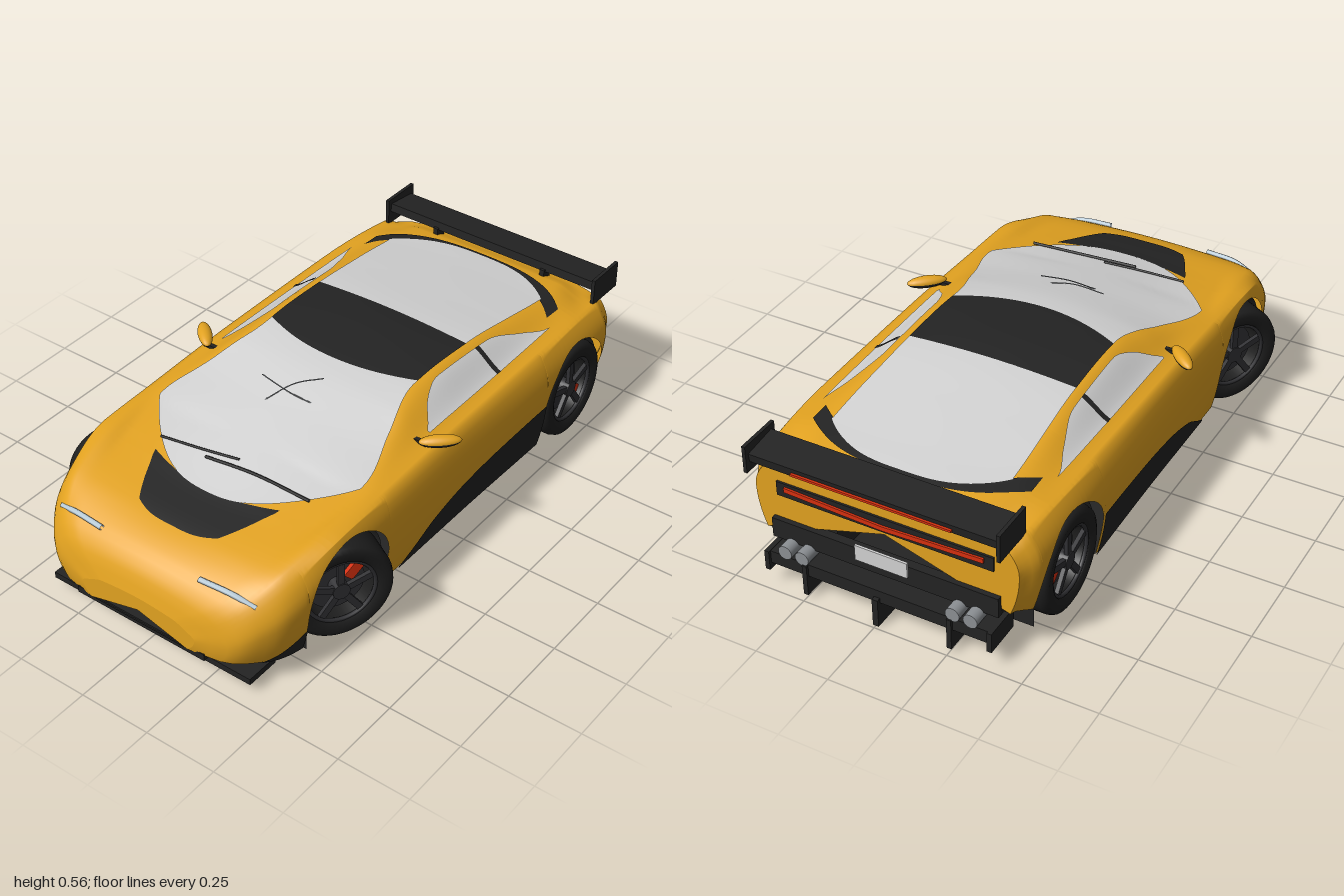
import * as THREE from 'three';

const mat = (name, color) => {
  const m = new THREE.MeshStandardMaterial({ color, side: THREE.DoubleSide });
  m.name = name;
  return m;
};

// Smooth monotone curve through [t, value] pairs, clamped at both ends
function curve(p) {
  const n = p.length;
  const d = (i) => (p[i + 1][1] - p[i][1]) / (p[i + 1][0] - p[i][0]);
  const m = p.map((_, i) => {
    if (i === 0 || i === n - 1) return 0;
    const a = d(i - 1), b = d(i);
    return a * b <= 0 ? 0 : (2 * a * b) / (a + b);
  });
  m[n - 1] = d(n - 2);
  return (t) => {
    if (t <= p[0][0]) return p[0][1];
    if (t >= p[n - 1][0]) return p[n - 1][1];
    let i = 0;
    while (t > p[i + 1][0]) i++;
    const h = p[i + 1][0] - p[i][0], s = (t - p[i][0]) / h, r = 1 - s;
    return (1 + 2 * s) * r * r * p[i][1] + s * r * r * h * m[i]
      + s * s * (3 - 2 * s) * p[i + 1][1] - s * s * r * h * m[i + 1];
  };
}

// Sheet of quads from a point rule
function grid(nu, nv, fn) {
  const pos = [], idx = [];
  for (let i = 0; i <= nu; i++) for (let j = 0; j <= nv; j++) pos.push(...fn(i / nu, j / nv, i, j));
  for (let i = 0; i < nu; i++) for (let j = 0; j < nv; j++) {
    const a = i * (nv + 1) + j, b = a + 1, c = a + nv + 1, d = c + 1;
    idx.push(a, b, c, b, d, c);
  }
  const g = new THREE.BufferGeometry();
  g.setAttribute('position', new THREE.Float32BufferAttribute(pos, 3));
  g.setIndex(idx);
  g.computeVertexNormals();
  return g;
}

// Feature lines of the body along z
const centreY = curve([[-.92, .43], [-.85, .455], [-.7, .477], [-.5, .505], [-.3, .53], [-.15, .54], [0, .535], [.1, .525], [.3, .48], [.5, .432], [.67, .39], [.83, .36], [.92, .325], [.97, .275], [.995, .2]]);
const roofX = curve([[-.92, .28], [-.7, .31], [-.3, .295], [0, .29], [.2, .34], [.4, .395], [.6, .365], [.8, .33], [.92, .29], [.97, .24], [.995, .14]]);
const roofY = curve([[-.92, .425], [-.85, .45], [-.7, .467], [-.5, .495], [-.3, .518], [-.1, .527], [0, .522], [.1, .505], [.2, .475], [.3, .448], [.4, .43], [.6, .402], [.8, .37], [.92, .315], [.97, .26], [.995, .19]]);
const waistX = curve([[-.92, .36], [-.85, .39], [-.5, .41], [0, .415], [.2, .415], [.4, .43], [.6, .42], [.8, .4], [.92, .35], [.97, .29], [.995, .17]]);
const waistY = curve([[-.92, .415], [-.7, .445], [0, .445], [.2, .44], [.4, .425], [.6, .415], [.8, .372], [.92, .3], [.97, .245], [.995, .18]]);
const shoulderX = curve([[-.92, .42], [-.85, .44], [-.5, .46], [.4, .465], [.6, .465], [.8, .435], [.92, .375], [.97, .31], [.995, .19]]);
const shoulderY = curve([[-.92, .395], [-.85, .425], [-.6, .435], [0, .43], [.4, .415], [.6, .407], [.8, .35], [.92, .28], [.97, .23], [.995, .17]]);
const flankX = curve([[-.92, .45], [-.85, .485], [-.6, .497], [0, .49], [.6, .49], [.75, .475], [.85, .45], [.92, .405], [.97, .345], [.995, .22]]);
const flankY = curve([[-.92, .32], [.5, .32], [.8, .26], [.92, .21], [.995, .15]]);
const sillY = curve([[-.92, .17], [-.85, .15], [-.8, .08], [.8, .08], [.9, .09], [.995, .1]]);

const axles = [.58, -.66], hubY = .2, archR = .187;

function topY(x, z) {
  return curve([[0, centreY(z)], [roofX(z), roofY(z)], [waistX(z), waistY(z)], [shoulderX(z), shoulderY(z)]])(Math.abs(x));
}
function sideX(z, y) {
  const w = flankX(z), b = flankY(z);
  if (y > b) return w - (w - shoulderX(z)) * ((y - b) / (shoulderY(z) - b)) ** 2;
  return w - .03 * ((b - y) / (b - sillY(z))) ** 2;
}
function lowerY(z) {
  for (const a of axles) {
    const d = Math.abs(z - a);
    if (d < archR) return hubY + Math.sqrt(archR * archR - d * d);
  }
  return sillY(z);
}

export function createModel() {
  const paint = mat('yellow paint', 0xe2a220), dark = mat('black trim', 0x232323), glass = mat('pale glass', 0xd2d2d2);
  const rubber = mat('tyre rubber', 0x1e1e1e), rim = mat('rim grey', 0x303033), red = mat('red', 0xd8300f);
  const lamp = mat('headlight', 0xbfd2de), metal = mat('metal', 0x8c9094);
  const car = new THREE.Group();
  car.name = 'sportsCar';
  const add = (name, geo, m, x = 0, y = 0, z = 0, parent = car) => {
    const o = new THREE.Mesh(geo, m);
    o.name = name;
    o.position.set(x, y, z);
    parent.add(o);
    return o;
  };
  const box = (name, w, h, d, m, x, y, z, parent) => add(name, new THREE.BoxGeometry(w, h, d), m, x, y, z, parent);

  // Stations are denser around the wheel arches and the nose
  const st = [.975, .985, .99, .995];
  for (let i = 0; i <= 94; i++) st.push(-.92 + i * .02);
  for (const a of axles) {
    for (let k = 0; k <= 20; k++) st.push(a + (archR - .0003) * Math.cos(k * Math.PI / 20));
    st.push(a - archR - .0003, a + archR + .0003);
  }
  st.sort((a, b) => a - b);

  // Body shell: flank, top, flank
  const M = 12, N = 28, cols = 2 * M + 2 * N;
  const shellPoint = (z, j) => {
    if (j >= M && j <= M + 2 * N) {
      const x = shoulderX(z) * (1 - (j - M) / N);
      return [x, topY(x, z), z];
    }
    const s = j < M ? 1 : -1, k = s > 0 ? j / M : (cols - j) / M;
    const y = THREE.MathUtils.lerp(lowerY(z), shoulderY(z), k);
    return [s * sideX(z, y), y, z];
  };
  add('bodyShell', grid(st.length - 1, cols, (u, v, i, j) => shellPoint(st[i], j)), paint);
  for (const [name, z, y] of [['noseFace', .995, .15], ['tailFace', -.92, .3]])
    add(name, grid(1, cols, (u, v, i, j) => i ? [0, y, z] : shellPoint(z, j)), paint);
  add('floor', grid(st.length - 1, 1, (u, v, i) => {
    const z = st[i], w = axles.some((a) => Math.abs(z - a) < archR) ? .22 : flankX(z) - .032;
    return [w * (2 * v - 1), sillY(z) + .002, z];
  }), dark);

  // Plates that hug the top surface
  const topPatch = (name, m, back, front, edge, lift = .005) => add(name, grid(36, 40, (u, v) => {
    const t = 1 - 2 * v, a = Math.abs(t), z = THREE.MathUtils.lerp(back(a), front(a), u), x = t * edge(z);
    return [x, topY(x, z) + lift, z];
  }), m);
  topPatch('windscreen', glass, (a) => .05 - .07 * a * a, (a) => .67 - .25 * a ** 2.5, roofX);
  topPatch('roofPanel', dark, () => -.28, (a) => .05 - .07 * a * a, roofX);
  topPatch('rearWindow', glass, (a) => -.815 + .11 * a ** 3, () => -.28, roofX);
  topPatch('rearDeckTrim', dark, (a) => -.83 + .12 * a ** 3, (a) => -.77 + .13 * a ** 3, () => .375, .003);
  topPatch('bonnetVent', dark, (a) => .665 - .05 * a * a, (a) => .825 - .03 * a ** 4, curve([[.6, .245], [.68, .215], [.76, .175], [.83, .13]]), .003);

  // Plates that hug the flanks
  const sidePatch = (name, m, s, z0, z1, low, high) => add(name, grid(40, 8, (u, v) => {
    const z = z0 + (z1 - z0) * u, y = THREE.MathUtils.lerp(low(z), high(z), v);
    return [s * (sideX(z, y) + .004), y, z];
  }), m);
  const sillTop = curve([[-.47, .25], [-.2, .24], [0, .22], [.15, .18], [.25, .12], [.31, .085]]);
  const windowFill = curve([[-.62, 0], [-.5, .55], [-.36, 1], [-.08, 1], [0, .75], [.09, .1]]);
  const tube = (name, pts, r, m) => add(name, new THREE.TubeGeometry(
    new THREE.CatmullRomCurve3(pts.map((p) => new THREE.Vector3(...p))), 24, r, 6), m);

  for (const s of [1, -1]) {
    sidePatch('sideSkirt', dark, s, -.471, .31, (z) => sillY(z) - .003, sillTop);
    sidePatch('bumperCorner', dark, s, .77, .9, sillY, curve([[.77, .16], [.82, .135], [.9, .092]]));

    // Side window with its pillar
    const windowSheet = (name, m, z0, z1, lift) => add(name, grid(30, 10, (u, v) => {
      const z = z0 + (z1 - z0) * u, low = waistX(z) - .004, high = roofX(z) + .025;
      const x = low + (high - low) * windowFill(z) * v;
      return [s * (x + lift), topY(x, z) + lift, z];
    }), m);
    windowSheet('sideWindow', glass, -.61, .09, .004);
    windowSheet('windowPillar', dark, -.305, -.285, .006);

    // Door mirror
    const mirror = new THREE.Group();
    mirror.name = 'mirror';
    mirror.position.set(s * .468, .455, .11);
    mirror.rotation.y = s * .75;
    car.add(mirror);
    const half = (t0) => new THREE.SphereGeometry(1, 20, 8, 0, Math.PI * 2, t0, Math.PI / 2);
    add('mirrorCap', half(0), paint, 0, 0, 0, mirror).scale.set(.068, .02, .024);
    add('mirrorBase', half(Math.PI / 2), dark, 0, 0, 0, mirror).scale.set(.066, .02, .023);
    box('mirrorArm', .05, .012, .015, dark, s * .415, .447, .14);

    tube('headlight', [[s * .19, .325, .925], [s * .3, .322, .915], [s * .38, .298, .897]], .009, lamp);
    const fin = add('bumperFin', new THREE.ConeGeometry(.045, .06, 4), dark, s * .22, .113, .965);
    fin.scale.z = .5;

    // Wheels, liners and brakes
    axles.forEach((az, k) => {
      add('wheelLiner', grid(36, 1, (u, v) => {
        const a = -.7 + u * (Math.PI + 1.4), c = THREE.MathUtils.clamp(a, 0, Math.PI);
        const drop = Math.abs(a - c) / .7 * .12;
        return [s * (.22 + .237 * v), hubY + archR * Math.sin(c) - drop, az + archR * Math.cos(c)];
      }), dark);
      add('linerWall', new THREE.CircleGeometry(archR, 32, 0, Math.PI), dark, s * .22, hubY, az).rotation.y = Math.PI / 2;
      box('linerWallLower', .006, .12, archR * 2, dark, s * .22, .14, az);
      const wheel = new THREE.Group();
      wheel.name = k ? 'rearWheel' : 'frontWheel';
      wheel.position.set(s * .418, hubY, az);
      wheel.rotation.y = k ? 0 : -Math.PI / 6;
      car.add(wheel);
      const tyre = [[.118, -.065], [.15, -.07], [.166, -.062], [.172, -.045], [.172, .045], [.166, .062], [.15, .07], [.118, .065], [.112, .05], [.112, -.065], [.118, -.065]];
      add('tyre', new THREE.LatheGeometry(tyre.map((p) => new THREE.Vector2(...p)), 48), rubber, 0, 0, 0, wheel).rotation.z = -s * Math.PI / 2;
      const disc = (name, r, w, m, x) => { add(name, new THREE.CylinderGeometry(r, r, w, 32), m, s * x, 0, 0, wheel).rotation.z = Math.PI / 2; };
      disc('brakeDisc', .092, .012, rim, .012);
      disc('hub', .028, .05, rim, .035);
      const rimRing = add('rimRing', new THREE.TorusGeometry(.112, .007, 8, 40), rim, s * .055, 0, 0, wheel);
      rimRing.rotation.y = Math.PI / 2;
      for (let i = 0; i < 5; i++) {
        const a = i * Math.PI * .4;
        const spoke = box('spoke', .014, .1, .022, rim, s * .05, .062 * Math.cos(a), .062 * Math.sin(a), wheel);
        spoke.rotation.x = a;
      }
      const caliper = box('brakeCaliper', .03, .085, .035, red, s * .018, k ? -.05 : .055, k ? -.07 : -.06, wheel);
      caliper.rotation.x = k ? .9 : -.7;
    });

    // Wing supports and exhaust tips
    box('wingEndPlate', .012, .095, .15, dark, s * .425, .468, -.92);
    box('wingStrut', .018, .06, .04, dark, s * .22, .445, -.87);
    for (const x of [.26, .32])
      add('exhaustTip', new THREE.CylinderGeometry(.024, .024, .07, 20), metal, s * x, .145, -.945).rotation.x = Math.PI / 2;
    for (const x of [.25, .385]) box('diffuserFin', .016, x < .3 ? .11 : .07, .13, dark, s * x, x < .3 ? .07 : .095, -.92);
    const light = box('tailLight', .34, .016, .012, red, s * .17, .338, -.928);
    light.rotation.z = s * .04;
  }

  // Rear wing and tail
  box('wingBlade', .84, .03, .12, dark, 0, .475, -.92).rotation.x = -.12;
  box('wingLight', .54, .008, .008, red, 0, .465, -.985);
  box('tailPanel', .74, .05, .01, dark, 0, .338, -.922);
  box('lowerTailPanel', .78, .07, .03, dark, 0, .19, -.922);
  box('numberPlate', .18, .055, .008, glass, 0, .215, -.942);
  box('diffuser', .78, .045, .12, dark, 0, .105, -.915);
  box('diffuserFin', .02, .1, .13, dark, 0, .05, -.925);

  // Front splitter and lower grille
  box('splitter', .78, .022, .12, dark, 0, .047, .89);
  box('lowerGrille', .5, .025, .03, dark, 0, .095, .975);

  // Wipers and cracks on the windscreen
  const onGlass = (x, z) => [x, topY(x, z) + .011, z];
  tube('wiper', [onGlass(-.26, .57), onGlass(-.1, .55), onGlass(.02, .53)], .004, dark);
  tube('wiper', [onGlass(-.08, .57), onGlass(.1, .55), onGlass(.3, .545)], .005, dark);
  tube('windscreenWire', [[-.125, .518, .235], [0, .51, .25], [.115, .488, .23]], .002, metal);
  tube('windscreenWire', [[-.07, .48, .3], [0, .535, .23], [.075, .558, .18]], .002, metal);
  return car;
}
